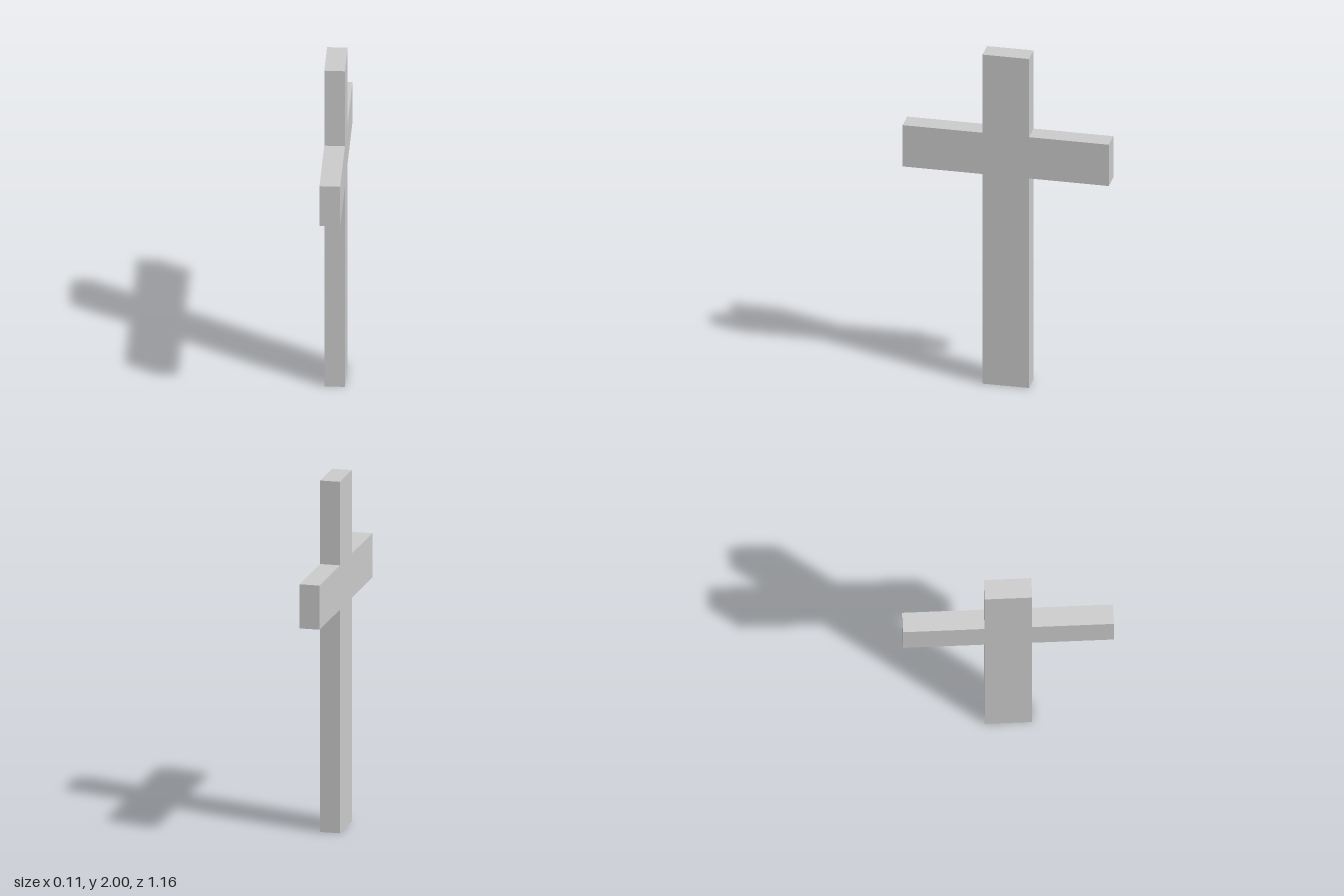
import * as THREE from 'three';

export function createModel() {
  const group = new THREE.Group();
  group.name = 'cross';

  const post = 0.131; // half width of the upright
  const arm = 0.581; // half span of the crossbar
  const low = 1.274, high = 1.525, top = 2; // crossbar edges and full height
  const depth = 0.114;

  // Half outline from base to top, mirrored for the other half
  const half = [[post, 0], [post, low], [arm, low], [arm, high], [post, high], [post, top]];
  const outline = [...half, ...half.map(([u, y]) => [-u, y]).reverse()];
  const shape = new THREE.Shape(outline.map(([u, y]) => new THREE.Vector2(u, y)));

  // Extrude the outline, centre its thickness and turn the arms along z
  const geometry = new THREE.ExtrudeGeometry(shape, { depth, bevelEnabled: false });
  geometry.translate(0, 0, -depth / 2);
  geometry.rotateY(-Math.PI / 2);

  const body = new THREE.Mesh(
    geometry,
    new THREE.MeshStandardMaterial({ color: 0xcccccc, flatShading: true })
  );
  body.name = 'uprightAndCrossbar';
  group.add(body);
  return group;
}
